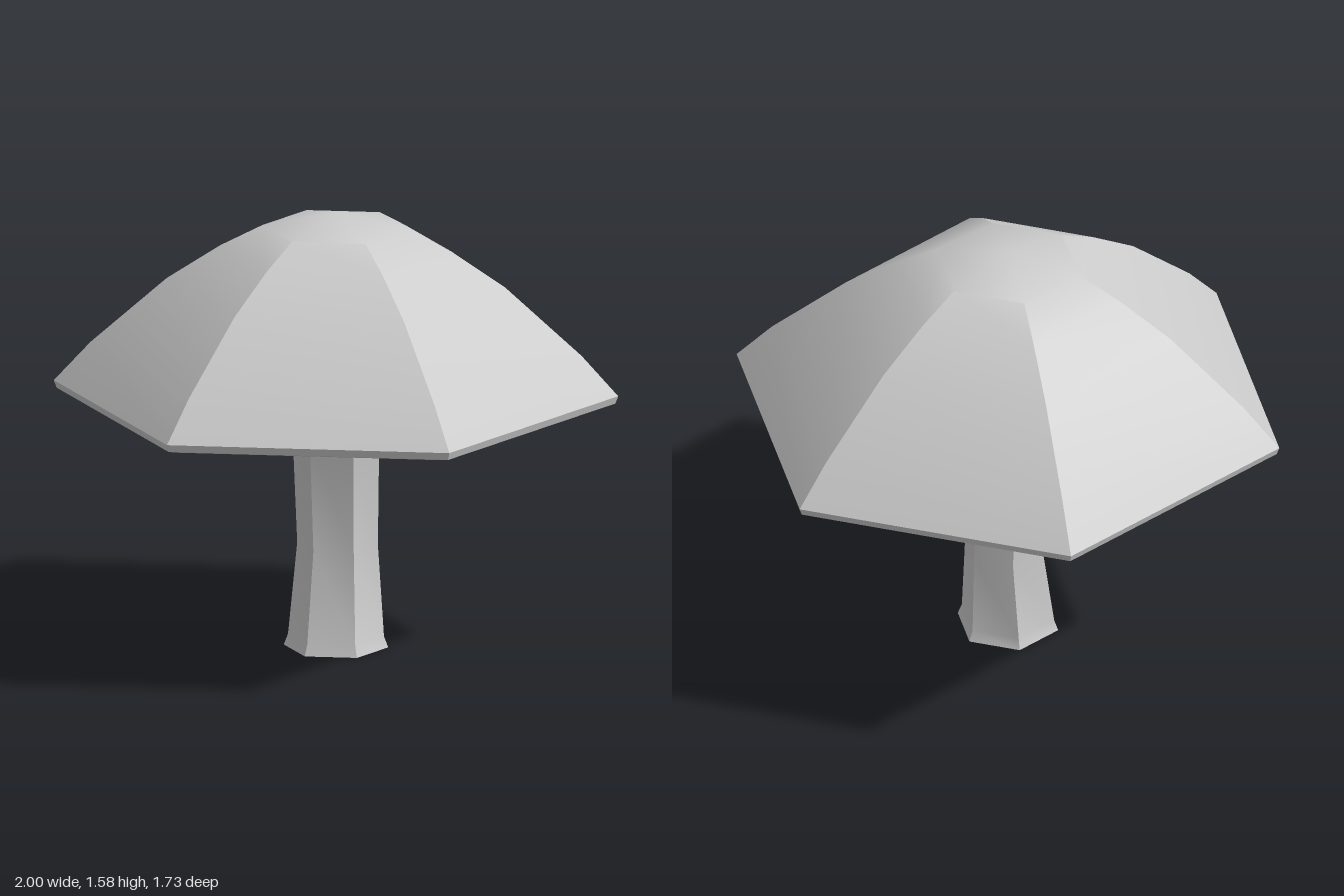
import * as THREE from 'three';
import { toCreasedNormals } from 'three/addons/utils/BufferGeometryUtils.js';

// Six-sided revolved form with corners on the x axis; profile runs bottom to top
function hexLathe(profile) {
  const points = profile.map(([r, y]) => new THREE.Vector2(r, y));
  return new THREE.LatheGeometry(points, 6, Math.PI / 2);
}

function makePart(name, geometry) {
  const material = new THREE.MeshStandardMaterial({ color: 0xcccccc, side: THREE.DoubleSide });
  const mesh = new THREE.Mesh(toCreasedNormals(geometry, 0.52), material);
  mesh.name = name;
  return mesh;
}

export function createModel() {
  const model = new THREE.Group();
  model.name = 'mushroom';

  // Cap: collar around the stem, bulging underside, recessed rim, domed top
  model.add(makePart('cap', hexLathe([
    [0.165, 0.87], [0.185, 0.838], [0.3, 0.837], [0.55, 0.895], [0.86, 0.96],
    [0.93, 0.895], [0.99, 0.91], [1, 0.937],
    [0.87, 1.08], [0.6, 1.32], [0.41, 1.445], [0.26, 1.523], [0, 1.58],
  ])));

  // Stem: open at the base, flared at both ends, bent backward at mid height
  const stem = hexLathe([
    [0.185, 0], [0.17, 0.04], [0.143, 0.36], [0.153, 0.75], [0.17, 0.84], [0.17, 0.87],
  ]);
  const pos = stem.attributes.position;
  for (let i = 0; i < pos.count; i++) {
    if (Math.abs(pos.getY(i) - 0.36) < 0.01) pos.setZ(i, pos.getZ(i) - 0.048);
  }
  model.add(makePart('stem', stem));

  return model;
}
